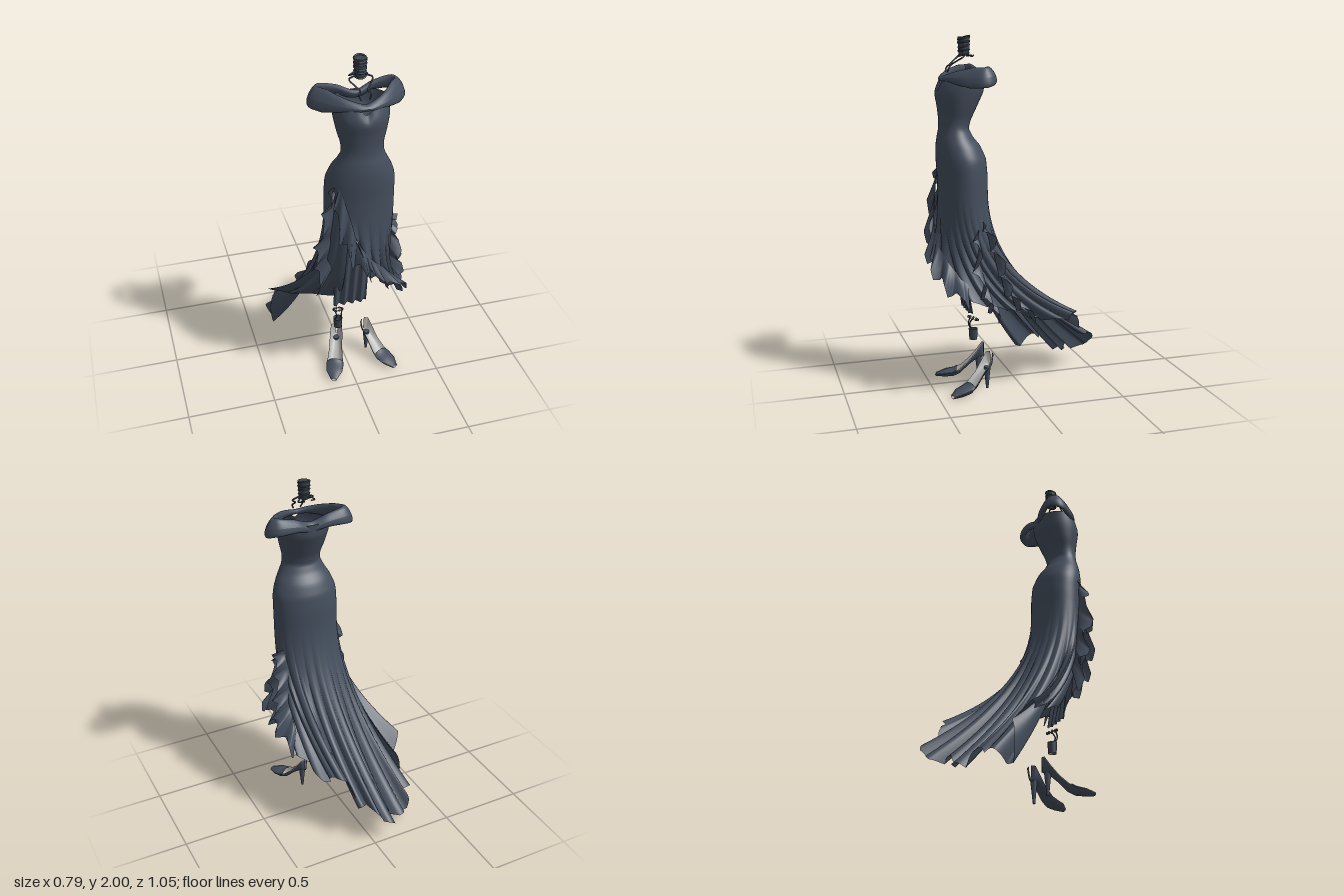
import * as THREE from 'three';

const V = (x, y, z) => new THREE.Vector3(x, y, z);
const mat = (name, color) => {
  const m = new THREE.MeshStandardMaterial({ color, side: THREE.DoubleSide });
  m.name = name;
  return m;
};
const CX = 0.05; // body centre line
const lerp = THREE.MathUtils.lerp;
const zigzag = a => Math.asin(Math.sin(a)) / (Math.PI / 2);

// Smooth surface from a rule f(u, v); u may close on itself
function surface(f, nu, nv, closed = false) {
  const pos = [], idx = [], cols = closed ? nu : nu + 1;
  for (let j = 0; j <= nv; j++)
    for (let i = 0; i < cols; i++) pos.push(...f(i / nu, j / nv).toArray());
  for (let j = 0; j < nv; j++)
    for (let i = 0; i < nu; i++) {
      const a = j * cols + i, b = j * cols + ((i + 1) % cols), c = a + cols, d = b + cols;
      idx.push(a, c, b, b, c, d);
    }
  const g = new THREE.BufferGeometry();
  g.setAttribute('position', new THREE.Float32BufferAttribute(pos, 3));
  g.setIndex(idx);
  g.computeVertexNormals();
  return g;
}

// Linear blend along a list of number rows
function sample(rows, t) {
  const k = Math.min(t * (rows.length - 1), rows.length - 1.0001), i = Math.floor(k);
  return rows[i].map((a, n) => lerp(a, rows[i + 1][n], k - i));
}
const curve = (pts, closed = false) => new THREE.CatmullRomCurve3(pts.map(p => V(...p)), closed);

export function createModel() {
  const root = new THREE.Group();
  const cloth = mat('slate cloth', 0x444e5d);
  const jewel = mat('dark metal', 0x3a434f);
  const lining = mat('grey lining', 0xb2b2b0);
  const add = (name, geo, m, parent = root) => {
    const mesh = new THREE.Mesh(geo, m);
    mesh.name = name;
    parent.add(mesh);
    return mesh;
  };

  // Bodice rows: half width, y, front z
  const body = curve([[0.155, 1.775, 0.428], [0.15, 1.7, 0.457], [0.135, 1.62, 0.447], [0.117, 1.55, 0.44],
    [0.117, 1.5, 0.44], [0.138, 1.45, 0.449], [0.165, 1.4, 0.455], [0.19, 1.33, 0.455], [0.195, 1.24, 0.449],
    [0.195, 1.15, 0.447]]);
  const backs = [0.185, 0.19, 0.228, 0.262, 0.277, 0.252, 0.212, 0.182, 0.174, 0.173].map(z => [z]);
  add('bodice', surface((u, v) => {
    const a = u * Math.PI * 2, p = body.getPoint(v), back = sample(backs, v)[0];
    // sweetheart neckline dips at the centre front
    const dip = Math.max(0, 1 - v * 6) * 0.04 * Math.exp(-((Math.sin(a / 2) / 0.09) ** 2));
    return V(CX + Math.sin(a) * p.x, p.y - dip, (p.z + back) / 2 + Math.cos(a) * (p.z - back) / 2);
  }, 80, 40, true), cloth);

  // Off-shoulder collar: offset, y, z, half height
  const half = [[0, 1.772, 0.415, 0.014], [0.1, 1.78, 0.38, 0.03], [0.19, 1.782, 0.3, 0.055],
    [0.235, 1.785, 0.235, 0.054], [0.205, 1.795, 0.195, 0.046], [0.1, 1.785, 0.192, 0.034], [0, 1.757, 0.212, 0.025]];
  const loop = [...half, ...half.slice(1, -1).reverse().map(([x, ...r]) => [-x, ...r])];
  const collarPath = curve(loop.map(([x, y, z]) => [CX + x, y, z]), true);
  add('collar', surface((u, v) => {
    const p = collarPath.getPoint(u), h = sample([...loop, loop[0]], u)[3];
    const t = collarPath.getTangent(u), out = V(-t.z, 0, t.x).normalize(), a = v * Math.PI * 2;
    const y = Math.sin(a) * h;
    return p.addScaledVector(out, Math.cos(a) * 0.021 - y * 0.4).add(V(0, y, 0));
  }, 96, 14, true), cloth);

  // Skirt and train hem in broad tabs, from the slit round the back to the front panel
  const hem = [[-0.05, 0.5, 0.28], [-0.18, 0.45, 0.15], [-0.28, 0.42, 0.08], [-0.39, 0.38, -0.05],
    [-0.35, 0.3, -0.13], [-0.37, 0.06, -0.13], [-0.37, 0.1, -0.24], [-0.31, 0.14, -0.28], [-0.31, 0.05, -0.36],
    [-0.21, 0.05, -0.4], [-0.13, 0.12, -0.37], [-0.13, 0.09, -0.49], [-0.04, 0.17, -0.52], [0.02, 0.25, -0.43],
    [0.08, 0.24, -0.43], [0.08, 0.34, -0.36], [0.13, 0.41, -0.36], [0.15, 0.39, -0.28], [0.17, 0.41, -0.3],
    [0.22, 0.38, -0.28], [0.25, 0.42, -0.1], [0.29, 0.44, -0.03], [0.29, 0.5, 0.1], [0.3, 0.53, 0.2],
    [0.27, 0.55, 0.3], [0.22, 0.58, 0.37], [0.16, 0.68, 0.46], [0.1, 0.76, 0.49], [0.04, 0.86, 0.49], [0, 1.0, 0.47]];
  add('skirtAndTrain', surface((u, v) => {
    const a = -0.5 - u * Math.PI * 2, [hx, hy, hz] = sample(hem, u);
    const out = V(Math.sin(a), 0, Math.cos(a));
    const x = CX + out.x * 0.195, z = 0.31 + out.z * 0.137;
    const midY = Math.max(lerp(1.15, hy, 0.6), 0.66);
    const p = new THREE.QuadraticBezierCurve3(V(x, 1.15, z), V(x, midY, z), V(hx, hy, hz)).getPoint(v);
    // creased pleats deepen towards the hem
    const fold = Math.abs(Math.sin(u * 22 * Math.PI + Math.sin(u * 17) * 0.6)) - 0.6;
    p.addScaledVector(out, fold * 0.045 * v ** 1.6);
    p.y += fold * 0.03 * v ** 3;
    return p;
  }, 406, 24), cloth);

  // Inner drape falls back behind the slit
  add('innerDrape', surface((u, v) => V(
    0.015 + (u * 2 - 1) * 0.1, lerp(1.14, 0.44, v),
    lerp(0.42, 0.28, v) - 0.05 * (2 * u - 1) ** 2 * (1 - v) + 0.012 * Math.sin(u * 25) * v), 48, 12), cloth);

  // Ruffles: sewn edge, flare to the free edge, waves and depth
  const ruffle = (name, edge, flare, waves, depth) => {
    const e = curve(edge), f = curve(flare);
    add(name, surface((u, v) => {
      const d = f.getPoint(u), side = e.getTangent(u).cross(d).normalize();
      const a = u * waves * Math.PI * 2 + Math.sin(u * 9) * 0.8;
      return e.getPoint(u).addScaledVector(d, v * (1 + 0.25 * zigzag(a + 1.8)))
        .addScaledVector(side, zigzag(a) * depth * v);
    }, waves * 20, 8), cloth);
  };
  ruffle('rightHipRuffle',
    [[-0.09, 1.35, 0.38], [-0.11, 1.2, 0.39], [-0.12, 0.95, 0.36], [-0.1, 0.75, 0.33]],
    [[-0.03, -0.05, 0.02], [-0.07, -0.06, 0.03], [-0.1, -0.1, 0.01], [-0.08, -0.16, 0]], 4, 0.032);
  ruffle('frontRuffle',
    [[-0.09, 1.32, 0.41], [-0.04, 1.15, 0.445], [0, 1.0, 0.465], [0.08, 0.87, 0.465], [0.18, 0.75, 0.41], [0.24, 0.65, 0.33]],
    [[-0.03, -0.1, 0.01], [-0.04, -0.18, 0.03], [0, -0.17, 0.03], [0.03, -0.13, 0.045], [0.07, -0.12, 0.04], [0.08, -0.1, 0.01]], 6, 0.03);
  ruffle('leftUpperRuffle',
    [[0.22, 1.0, 0.24], [0.22, 0.85, 0.19], [0.24, 0.68, 0.14], [0.25, 0.54, 0.04]],
    [[0.07, -0.01, 0], [0.1, -0.06, -0.02], [0.12, -0.08, -0.02], [0.05, -0.1, -0.07]], 5, 0.032);
  ruffle('leftLowerRuffle',
    [[0.22, 0.98, 0.26], [0.23, 0.8, 0.26], [0.24, 0.64, 0.22], [0.24, 0.54, 0.16]],
    [[0.06, -0.05, 0.02], [0.08, -0.09, 0.03], [0.09, -0.09, 0.02], [0.06, -0.09, 0.01]], 4, 0.032);

  // Choker: capped wrapped bands with hanging strands
  const choker = new THREE.Group();
  choker.name = 'choker';
  choker.position.set(CX, 1.945, 0.295);
  root.add(choker);
  add('chokerBand', new THREE.CylinderGeometry(0.034, 0.029, 0.1, 20), jewel, choker);
  for (let i = 0; i < 5; i++) {
    const ring = add('chokerRing', new THREE.TorusGeometry(0.029 + i * 0.001, 0.005, 6, 20), jewel, choker);
    ring.position.y = -0.045 + i * 0.0225;
    ring.rotation.x = Math.PI / 2 + (i % 2 ? 0.12 : 0.3);
  }
  const tube = (name, pts, r, m, parent) =>
    add(name, new THREE.TubeGeometry(curve(pts), 24, r, 6), m, parent);
  for (const s of [-1, 1]) {
    tube('neckStrand', [[s * 0.025, -0.04, 0.01], [s * 0.062, -0.055, 0.015], [s * 0.04, -0.08, 0.05],
      [s * 0.02, -0.1, 0.075], [s * 0.032, -0.115, 0.09], [s * 0.022, -0.14, 0.1]], 0.0045, jewel, choker);
    tube('backStrand', [[s * 0.025, -0.04, -0.01], [s * 0.05, -0.055, -0.03], [s * 0.02, -0.05, -0.05]],
      0.004, jewel, choker);
  }

  // Shoe rows, heel to toe: z, sole y, half width, side height
  const last = [[-0.012, 0.13, 0.01, 0.08], [0, 0.125, 0.032, 0.08], [0.03, 0.115, 0.038, 0.045],
    [0.08, 0.075, 0.038, 0.025], [0.13, 0.025, 0.045, 0.03], [0.17, 0.006, 0.052, 0.032],
    [0.22, 0.002, 0.047, 0.028], [0.275, 0.002, 0.018, 0.012]];
  const shell = k => surface((u, v) => {
    const [z, y, w, h] = sample(last, v), c = u * 2 - 1;
    return V(c * w * k, y + (1 - k) * 0.06 + h * Math.abs(c) ** 3, z + (1 - k) * 0.05);
  }, 16, 28);
  for (const [name, x, yaw] of [['rightShoe', -0.037, -0.33], ['leftShoe', 0.138, 0.45]]) {
    const shoe = new THREE.Group();
    shoe.name = name;
    shoe.position.set(x, 0, 0.18);
    shoe.rotation.y = yaw;
    root.add(shoe);
    add('shoeShell', shell(1), cloth, shoe);
    add('shoeLining', shell(0.94), lining, shoe);
    // toe cap closes the front
    add('toeCap', surface((u, v) => {
      const [z, y, w, h] = sample(last, lerp(0.64, 1, v)), c = u * 2 - 1;
      return V(c * w, y + h + 0.02 * (1 - c * c) * (1 - v * 0.7), z);
    }, 12, 10), cloth, shoe);
    const heel = add('heel', new THREE.CylinderGeometry(0.02, 0.007, 0.13, 12), cloth, shoe);
    heel.position.set(0, 0.065, 0.02);
  }

  // Right ankle jewellery: cuff, beaded ring and joining chain
  const anklet = new THREE.Group();
  anklet.name = 'rightAnklet';
  anklet.position.set(-0.043, 0.27, 0.23);
  root.add(anklet);
  add('ankleCuff', new THREE.CylinderGeometry(0.027, 0.023, 0.065, 16, 1, true), jewel, anklet);
  for (let i = 0; i < 10; i++) {
    const a = i / 10 * Math.PI * 2;
    const bead = add('ankleBead', new THREE.SphereGeometry(0.007, 8, 6), jewel, anklet);
    bead.position.set(Math.sin(a) * 0.026, 0.095 + Math.cos(a) * 0.012, Math.cos(a) * 0.029);
  }
  for (const s of [-1, 1])
    tube('ankleChain', [[s * 0.022, 0.1, 0.01], [s * 0.014, 0.065, 0.025], [s * 0.022, 0.03, 0.012]],
      0.004, jewel, anklet);
  return root;
}
